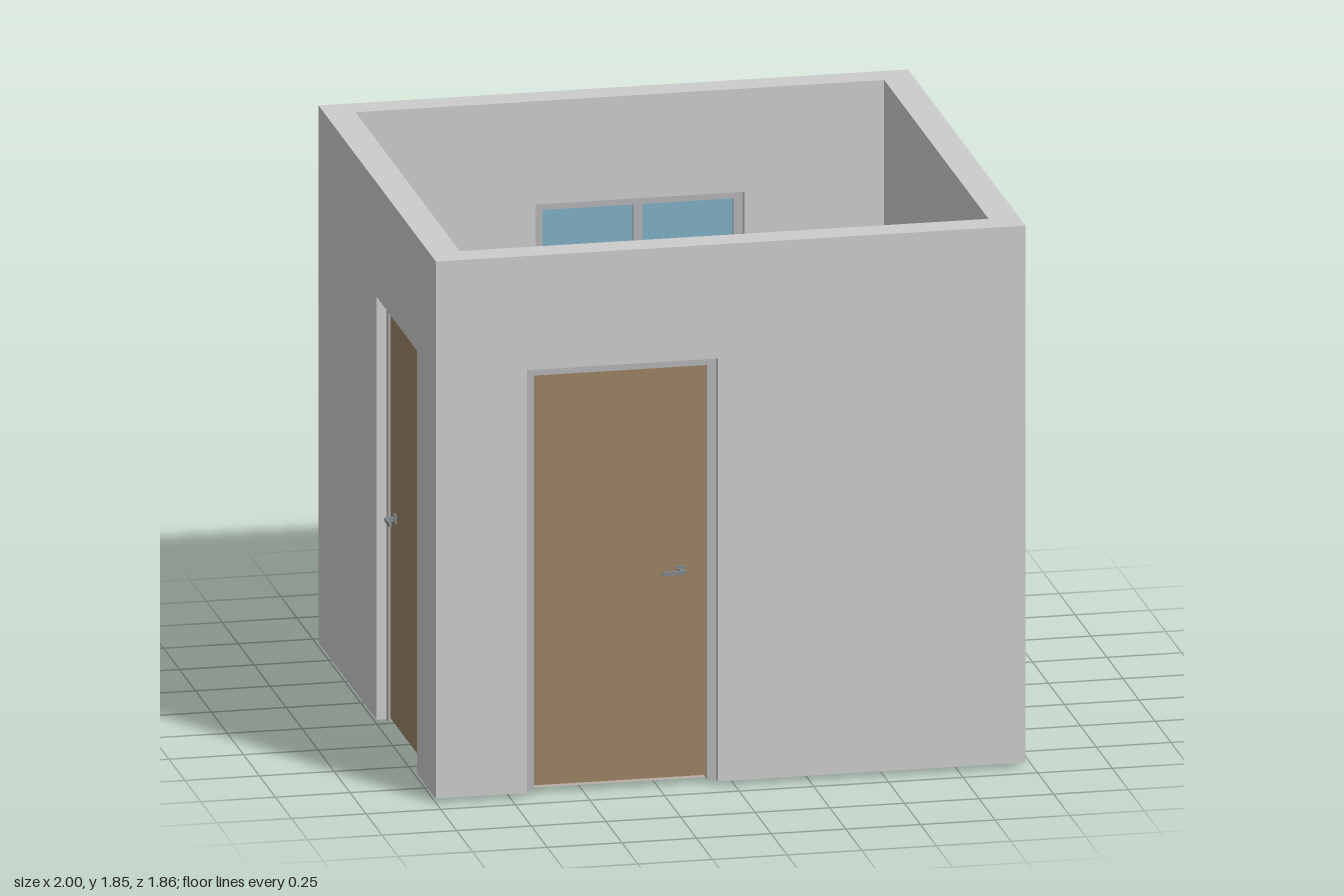
import * as THREE from 'three';

const mat = (color, side = THREE.FrontSide) => new THREE.MeshStandardMaterial({ color, side });
const WALL = mat(0xcccccc), FRAME = mat(0xb5b5b8), WOOD = mat(0x9a8263), GLASS = mat(0x7fafc4);
const FLOOR = mat(0xb6aea4, THREE.DoubleSide), CERAMIC = mat(0xd8d8d6, THREE.DoubleSide);
const DARK = mat(0x3a3a3a), METAL = mat(0x82868a);
const BASE = 0.015, TOP = 1.85, T = 0.102;

function add(parent, name, geo, material, x = 0, y = 0, z = 0) {
  const m = new THREE.Mesh(geo, material);
  m.name = name;
  m.position.set(x, y, z);
  parent.add(m);
  return m;
}

// box given by its min and max on each axis
function box(parent, name, material, x0, x1, y0, y1, z0, z1) {
  return add(parent, name, new THREE.BoxGeometry(x1 - x0, y1 - y0, z1 - z0), material,
    (x0 + x1) / 2, (y0 + y1) / 2, (z0 + z1) / 2);
}

function group(parent, name, x = 0, y = 0, z = 0) {
  const g = new THREE.Group();
  g.name = name;
  g.position.set(x, y, z);
  parent.add(g);
  return g;
}

// jambs and head round an opening
function frame(g, x0, x1, y0, y1) {
  const w = 0.03, d = 0.018;
  box(g, 'jamb', FRAME, x0, x0 + w, y0, y1, -d, d);
  box(g, 'jamb', FRAME, x1 - w, x1, y0, y1, -d, d);
  box(g, 'head', FRAME, x0 + w, x1 - w, y1 - w, y1, -d, d);
}

function addDoor(wall, x0, x1, handleSide) {
  const g = group(wall, 'door');
  frame(g, x0, x1, BASE, 1.46);
  box(g, 'doorLeaf', WOOD, x0 + 0.03, x1 - 0.03, 0.028, 1.43, -0.012, 0.012);
  // lever handles on both faces, pointing away from the closing edge
  const hx = handleSide > 0 ? x1 - 0.117 : x0 + 0.117;
  for (const s of [1, -1]) {
    const h = group(g, 'doorHandle', hx, 0.733, s * 0.012);
    box(h, 'handlePlate', METAL, -0.017, 0.017, -0.014, 0.016, -0.004, 0.006);
    box(h, 'handleStem', METAL, -0.008, 0.008, -0.007, 0.007, Math.min(0, s * 0.035), Math.max(0, s * 0.035));
    const lever = box(h, 'lever', METAL, -0.035, 0.035, -0.006, 0.006, -0.005, 0.005);
    lever.position.set(-handleSide * 0.033, 0, s * 0.033);
  }
}

function addWindow(wall, x0, x1, panes) {
  const g = group(wall, 'window');
  frame(g, x0, x1, 0.665, 1.497);
  const w = (x1 - x0 - 0.03) / panes;
  for (let i = 0; i < panes; i++) {
    const a = x0 + 0.03 + i * w;
    box(g, 'glassPane', GLASS, a, a + w - 0.03, 0.684, 1.467, -0.006, 0.006);
    if (i) box(g, 'mullion', FRAME, a - 0.03, a, 0.665, 1.467, -0.018, 0.018);
  }
  box(g, 'sill', FRAME, x0 - 0.02, x1 + 0.025, 0.63, 0.667, -T / 2 - 0.02, T / 2 + 0.022);
}

// wall panel in its own frame: x along, z outward
function addWall(parent, name, x, z, turn, a, b, opening) {
  const g = group(parent, name, x, 0, z);
  g.rotation.y = turn;
  const [o0, o1] = opening.span;
  const s = new THREE.Shape();
  s.moveTo(a, BASE);
  if (opening.door) s.lineTo(o0, BASE).lineTo(o0, 1.46).lineTo(o1, 1.46).lineTo(o1, BASE);
  s.lineTo(b, BASE).lineTo(b, TOP).lineTo(a, TOP).closePath();
  if (!opening.door) {
    const h = new THREE.Path();
    h.moveTo(o0, 0.65).lineTo(o0, 1.497).lineTo(o1, 1.497).lineTo(o1, 0.65).closePath();
    s.holes.push(h);
  }
  const geo = new THREE.ExtrudeGeometry(s, { depth: T, bevelEnabled: false });
  add(g, 'wallPanel', geo, WALL, 0, 0, -T / 2);
  if (opening.door) addDoor(g, o0, o1, opening.door);
  else addWindow(g, o0, o1, opening.panes);
}

// superellipse ring
function ring(rx, rz, power, n = 48) {
  return Array.from({ length: n }, (_, i) => {
    const t = (i / n) * Math.PI * 2, c = Math.cos(t), s = Math.sin(t);
    return new THREE.Vector2(rx * Math.sign(c) * Math.abs(c) ** (2 / power), rz * Math.sign(s) * Math.abs(s) ** (2 / power));
  });
}

// skin through rings [rx, y, rz, z offset, power], the last one closed
function loft(sections, n = 48) {
  const pos = [], idx = [];
  for (const [rx, y, rz, oz = 0, p = 2] of sections) for (const v of ring(rx, rz, p, n)) pos.push(v.x, y, v.y + oz);
  for (let j = 0; j < sections.length - 1; j++) {
    for (let i = 0; i < n; i++) {
      const k = (i + 1) % n, a = j * n + i, b = j * n + k;
      idx.push(a, a + n, b, b, a + n, b + n);
    }
  }
  const last = (sections.length - 1) * n, end = sections[sections.length - 1];
  pos.push(0, end[1], end[3] || 0);
  for (let i = 0; i < n; i++) idx.push(last + i, last + n, last + (i + 1) % n);
  const geo = new THREE.BufferGeometry();
  geo.setAttribute('position', new THREE.Float32BufferAttribute(pos, 3));
  geo.setIndex(idx);
  geo.computeVertexNormals();
  return geo;
}

const disc = (r) => new THREE.CylinderGeometry(r, r, 0.008, 20);

function addBath(parent) {
  const g = group(parent, 'bathtub', 0.625, 0, -0.115);
  const w = 0.245, l = 0.6, r = 0.04;
  const s = new THREE.Shape();
  s.moveTo(-w + r, -l).lineTo(w - r, -l).quadraticCurveTo(w, -l, w, -l + r).lineTo(w, l - r)
    .quadraticCurveTo(w, l, w - r, l).lineTo(-w + r, l).quadraticCurveTo(-w, l, -w, l - r)
    .lineTo(-w, -l + r).quadraticCurveTo(-w, -l, -w + r, -l);
  s.holes.push(new THREE.Path(ring(0.21, 0.555, 3.2)));
  const geo = new THREE.ExtrudeGeometry(s, { depth: 0.385, bevelEnabled: false }).rotateX(-Math.PI / 2);
  add(g, 'bathBody', geo, CERAMIC, 0, BASE, 0);
  add(g, 'bathBasin', loft([
    [0.21, 0.4, 0.555, 0, 3.2], [0.2, 0.385, 0.54, 0, 3.2], [0.17, 0.2, 0.48, 0, 3.2],
    [0.155, 0.12, 0.455, 0, 3.2], [0.135, 0.1, 0.43, 0, 3.2],
  ]), CERAMIC);
  add(g, 'bathDrain', disc(0.018), DARK, -0.005, 0.104, 0.315);
}

function addToilet(parent) {
  const g = group(parent, 'toilet', -0.498, 0, -0.38);
  box(g, 'cistern', CERAMIC, -0.105, 0.105, 0.28, 0.53, -0.275, -0.17);
  box(g, 'cisternLid', CERAMIC, -0.116, 0.116, 0.53, 0.55, -0.28, -0.163);
  add(g, 'flushButton', disc(0.012), DARK, 0, 0.553, -0.22);
  box(g, 'bowlBack', CERAMIC, -0.085, 0.085, 0.19, 0.292, -0.275, -0.09);
  box(g, 'pedestalBack', CERAMIC, -0.065, 0.065, BASE, 0.19, -0.275, -0.03);
  add(g, 'bowl', loft([
    [0.075, BASE, 0.1, -0.03], [0.065, 0.1, 0.095, -0.03], [0.085, 0.19, 0.12, -0.01],
    [0.115, 0.26, 0.145], [0.122, 0.29, 0.15], [0.117, 0.305, 0.145], [0.1, 0.31, 0.125],
    [0.08, 0.303, 0.095], [0.07, 0.25, 0.087], [0.055, 0.19, 0.072], [0.037, 0.15, 0.056],
  ]), CERAMIC);
}

function addVanity(parent) {
  const g = group(parent, 'vanity', 0.12, 0, -0.645);
  box(g, 'cabinet', WOOD, -0.2, 0.2, BASE, 0.49, -0.137, 0.125);
  // raised edge round the cabinet top
  for (const s of [-1, 1]) box(g, 'cabinetSide', WOOD, s * 0.203 - 0.007, s * 0.203 + 0.007, BASE, 0.51, -0.137, 0.13);
  box(g, 'cabinetEdge', WOOD, -0.2, 0.2, 0.47, 0.51, 0.12, 0.132);
  for (const s of [-1, 1]) {
    box(g, 'cabinetDoor', WOOD, s * 0.1 - 0.093, s * 0.1 + 0.093, 0.04, 0.46, 0.12, 0.132);
    box(g, 'cabinetPull', METAL, s * 0.03 - 0.005, s * 0.03 + 0.005, 0.3, 0.38, 0.13, 0.142);
  }
  add(g, 'washBasin', loft([
    [0.12, 0.49, 0.08], [0.17, 0.52, 0.11], [0.2, 0.57, 0.135], [0.21, 0.59, 0.143],
    [0.203, 0.597, 0.137], [0.185, 0.59, 0.125], [0.16, 0.55, 0.108], [0.13, 0.52, 0.09],
  ]), CERAMIC);
  add(g, 'basinDrain', disc(0.016), DARK, 0, 0.524, 0);
}

// heated towel ladder on the side wall
function addTowelRail(parent) {
  const g = group(parent, 'towelRail', -0.84, 0, -0.455);
  for (const s of [-1, 1]) {
    box(g, 'railPost', DARK, -0.01, 0.01, 0.3, 1.1, s * 0.155 - 0.01, s * 0.155 + 0.01);
    for (const y of [0.4, 1.0]) box(g, 'railBracket', DARK, -0.06, 0, y - 0.01, y + 0.01, s * 0.122 - 0.008, s * 0.122 + 0.008);
    add(g, 'railValve', new THREE.CylinderGeometry(0.011, 0.011, 0.05, 12), DARK, -0.022, 0.3, s * 0.165);
    box(g, 'railPipe', DARK, -0.06, -0.022, 0.285, 0.295, s * 0.165 - 0.005, s * 0.165 + 0.005);
  }
  for (let i = 0; i < 10; i++) {
    add(g, 'railRung', new THREE.CylinderGeometry(0.008, 0.008, 0.31, 10).rotateX(Math.PI / 2), DARK, 0, 0.34 + i * 0.08, 0);
  }
}

export function createModel() {
  const room = new THREE.Group();
  room.name = 'bathroom';
  const Q = Math.PI / 2;

  // shell
  add(room, 'floor', new THREE.PlaneGeometry(1.77, 1.632).rotateX(-Q), FLOOR, -0.015, 0, 0.005);
  addWall(room, 'frontWall', 0, 0.874, 0, -1, 0.975, { span: [-0.695, -0.055], door: 1 });
  addWall(room, 'backWall', 0, -0.859, 2 * Q, -0.975, 1, { span: [-0.405, 0.295], panes: 2 });
  addWall(room, 'rightWall', 0.924, 0, Q, -0.823, 0.808, { span: [-0.19, 0.235], panes: 1 });
  addWall(room, 'leftWall', -0.949, 0, -Q, -0.808, 0.823, { span: [0, 0.63], door: -1 });

  // boxed-in ledge behind the toilet
  box(room, 'ledge', FRAME, -0.898, -0.15, BASE, 0.6, -0.808, -0.66);

  addBath(room);
  addToilet(room);
  addVanity(room);
  addTowelRail(room);
  return room;
}
